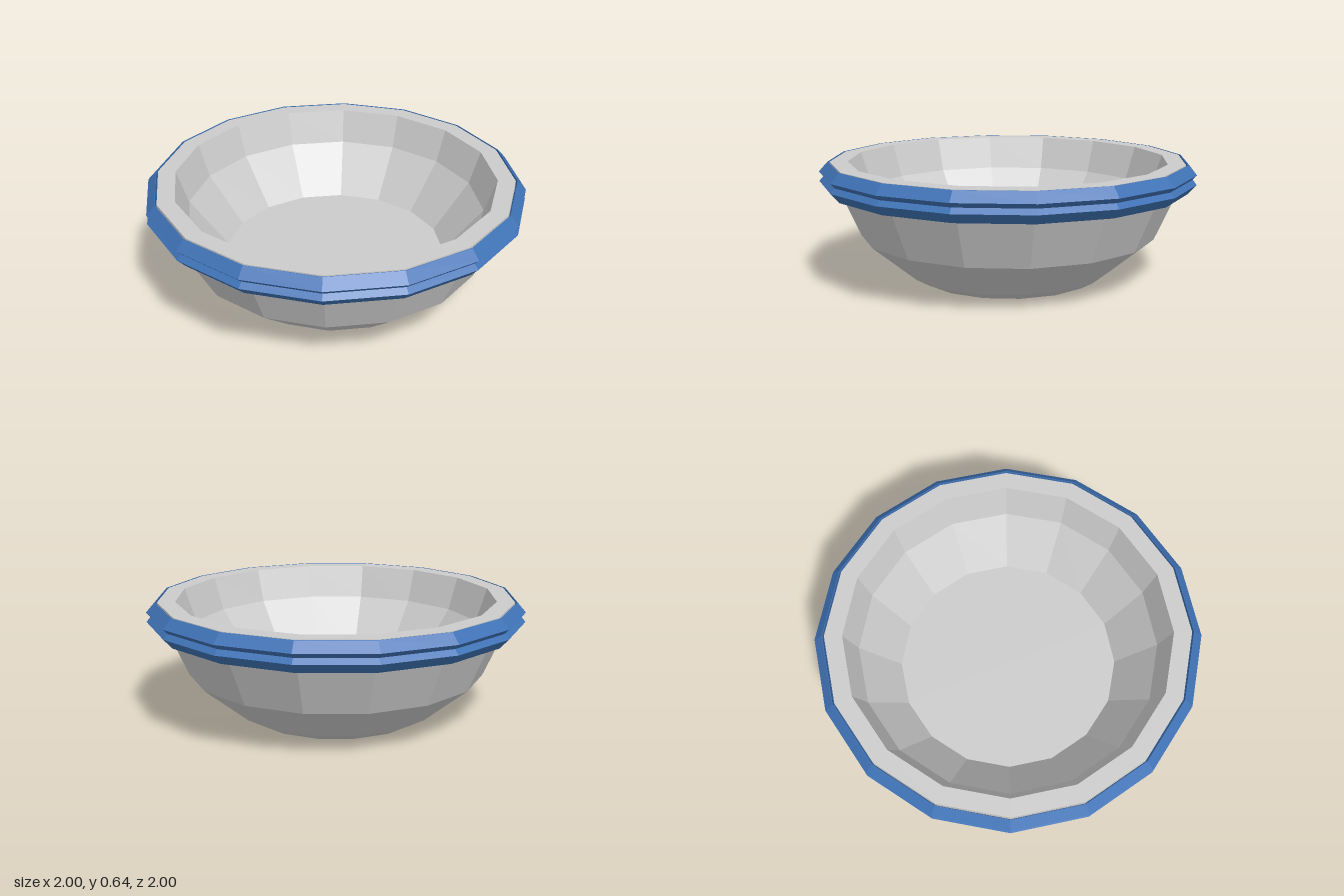
import * as THREE from 'three';

const SIDES = 16;

// Faceted solid of revolution from [radius, height] pairs
function turned(name, profile, color) {
  const points = profile.map(([r, y]) => new THREE.Vector2(r, y));
  const material = new THREE.MeshStandardMaterial({ color, flatShading: true });
  const mesh = new THREE.Mesh(new THREE.LatheGeometry(points, SIDES), material);
  mesh.name = name;
  return mesh;
}

export function createModel() {
  const group = new THREE.Group();
  group.name = 'bowl';

  // Thick-walled body: underside, outer wall, flat lip, inner wall, floor
  group.add(turned('bowlBody', [
    [0, 0], [0.48, 0], [0.55, 0.04], [0.79, 0.24], [0.9, 0.49], [0.943, 0.6], [0.943, 0.64],
    [0.85, 0.64], [0.79, 0.46], [0.59, 0.2], [0, 0.2],
  ], 0xcccccc));

  // Double-ridged band round the rim, with a fine gap to the lip
  group.add(turned('rimBand', [
    [0.89, 0.49], [0.955, 0.49], [1, 0.54], [0.975, 0.565], [1, 0.59], [0.955, 0.64],
    [0.952, 0.64], [0.952, 0.59], [0.89, 0.49],
  ], 0x3f72b5));

  return group;
}
